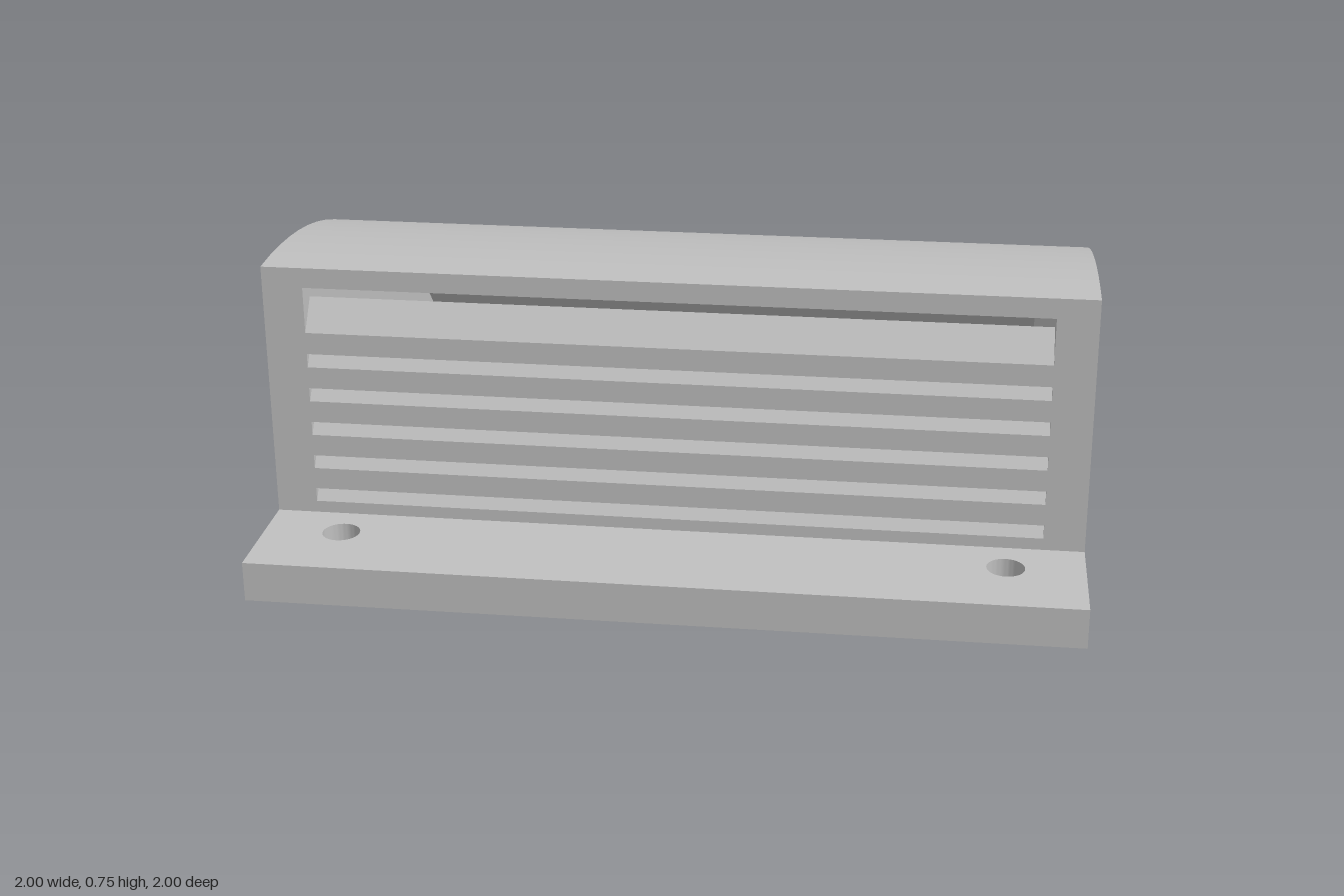
import * as THREE from 'three';
import { toCreasedNormals } from 'three/addons/utils/BufferGeometryUtils.js';

const FRONT = 0.705, BACK = -0.7, PLATE = 0.1, INNER = 0.9;

// Roof arc: a circle whose crown is at z = 0.6
const arcY = (z, r, crown) => crown - r + Math.sqrt(r * r - (z - 0.6) ** 2);
function arcPoints(from, to, r, crown, n = 18) {
  const pts = [];
  for (let i = 0; i <= n; i++) {
    const z = from + (to - from) * i / n;
    pts.push([z, arcY(z, r, crown)]);
  }
  return pts;
}

// Extrudes a [z, y] outline across x, centred on x
function acrossX(points, width, x = 0) {
  const shape = new THREE.Shape(points.map(([z, y]) => new THREE.Vector2(z, y)));
  const geo = new THREE.ExtrudeGeometry(shape, { depth: width, bevelEnabled: false });
  geo.translate(0, 0, -width / 2).rotateY(-Math.PI / 2).translate(x, 0, 0);
  return toCreasedNormals(geo, 0.4);
}

export function createModel() {
  const model = new THREE.Group();
  model.name = 'ventCowl';
  const grey = new THREE.MeshStandardMaterial({ color: 0xc0c0c0 });
  grey.name = 'grey';
  const add = (name, geo) => {
    const mesh = new THREE.Mesh(geo, grey);
    mesh.name = name;
    model.add(mesh);
  };

  // Base flange with the duct opening and four screw holes
  const rect = (w, d) => [[-w, -d], [w, -d], [w, d], [-w, d]].map(p => new THREE.Vector2(...p));
  const flange = new THREE.Shape(rect(1, 1));
  flange.holes.push(new THREE.Path(rect(INNER, 0.7)));
  for (const x of [-0.81, 0.81]) for (const z of [-0.81, 0.81]) {
    flange.holes.push(new THREE.Path().absarc(x, z, 0.046, 0, Math.PI * 2, true));
  }
  const flangeGeo = new THREE.ExtrudeGeometry(flange, { depth: PLATE, bevelEnabled: false, curveSegments: 24 });
  flangeGeo.rotateX(Math.PI / 2).translate(0, PLATE, 0);
  add('baseFlange', toCreasedNormals(flangeGeo, 0.6));

  // Curved roof shell, full width
  const outer = arcPoints(FRONT, BACK, 1.625, 0.75);
  const inner = arcPoints(-0.655, FRONT, 1.575, 0.7);
  inner[0][1] = PLATE;
  add('roof', acrossX([...outer, ...inner], 2));

  // Side cheeks filling the space under the roof
  for (const side of [-1, 1]) {
    add(side > 0 ? 'leftCheek' : 'rightCheek',
      acrossX([[FRONT, PLATE], ...inner.slice().reverse()], 1 - INNER, side * 0.95));
  }

  // Sloping louvre slats, each with an upright front lip
  for (let i = 0; i < 5; i++) {
    const y = 0.525 - i * 0.09;
    add('louvreSlat', acrossX([
      [FRONT, y], [FRONT, y + 0.055], [0.65, y + 0.13], [0.643, y + 0.105], [0.65, y + 0.075],
    ], INNER * 2));
  }

  // Sill slat running down into the opening
  add('sillSlat', acrossX([
    [FRONT, PLATE], [FRONT, 0.13], [0.65, 0.205], [0.643, 0.18], [0.65, 0.15], [0.675, 0.09], [0.7, 0], [0.7, PLATE],
  ], INNER * 2));

  return model;
}
